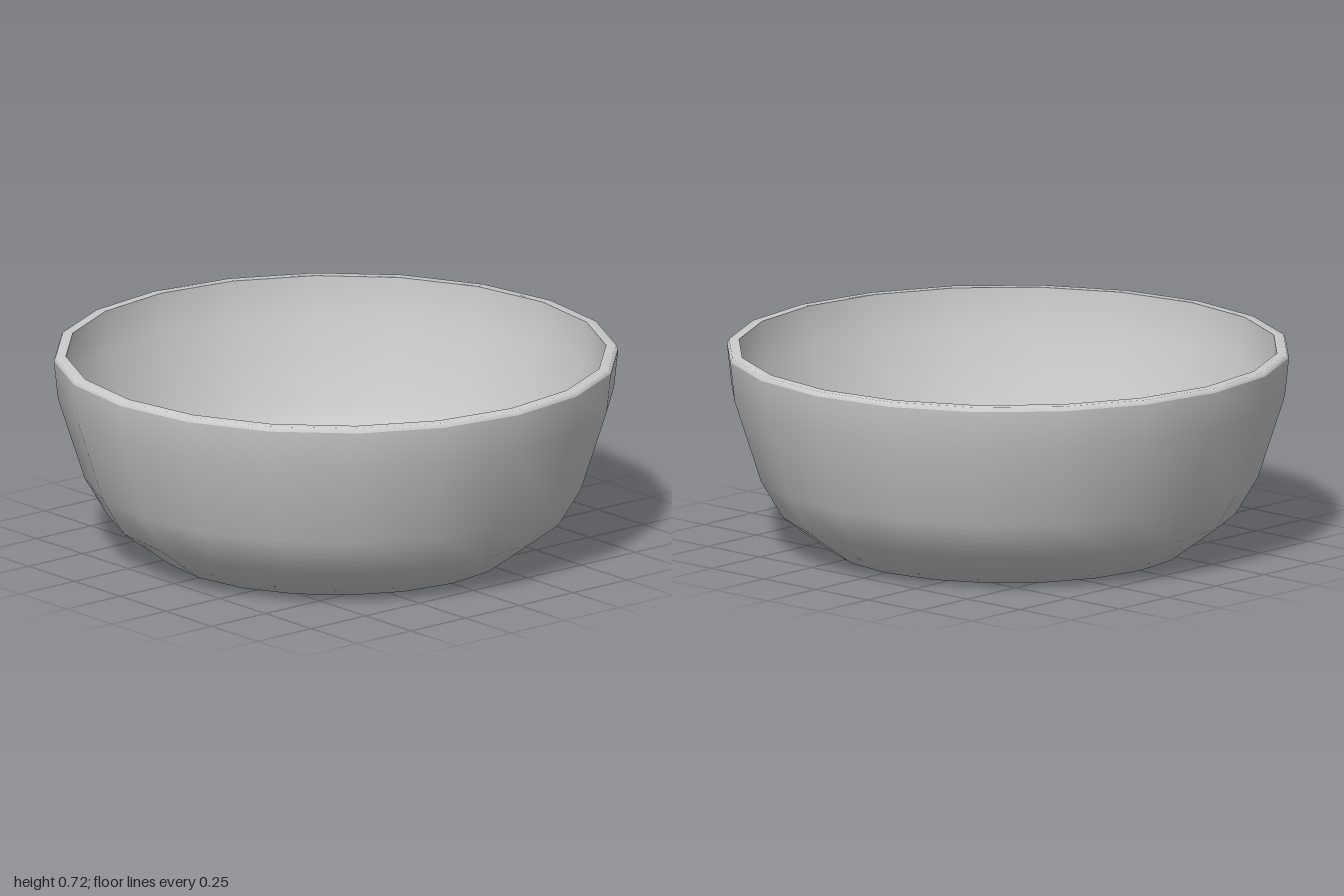
import * as THREE from 'three';

const SIDES = 20;

export function createModel() {
  const bowl = new THREE.Group();
  bowl.name = 'bowl';
  const material = new THREE.MeshStandardMaterial({ color: 0xcccccc });

  // Turn a [radius, height] profile; separate turnings keep the rim edges crisp
  const turn = (name, profile) => {
    const points = profile.map(([r, y]) => new THREE.Vector2(r, y));
    const mesh = new THREE.Mesh(new THREE.LatheGeometry(points, SIDES), material);
    mesh.name = name;
    bowl.add(mesh);
  };

  // Base and outer wall, from the centre outwards and up
  turn('outerWall', [[0, 0], [0.635, 0], [0.81, 0.13], [0.89, 0.265], [0.985, 0.56], [1, 0.7]]);

  // Narrow rim with a slightly eased outer edge
  turn('rim', [[1, 0.7], [0.993, 0.716], [0.957, 0.716]]);

  // Inner wall and floor, from the rim down to the centre
  turn('innerWall', [[0.957, 0.716], [0.945, 0.57], [0.85, 0.28], [0.78, 0.16], [0.615, 0.04], [0, 0.04]]);

  return bowl;
}
